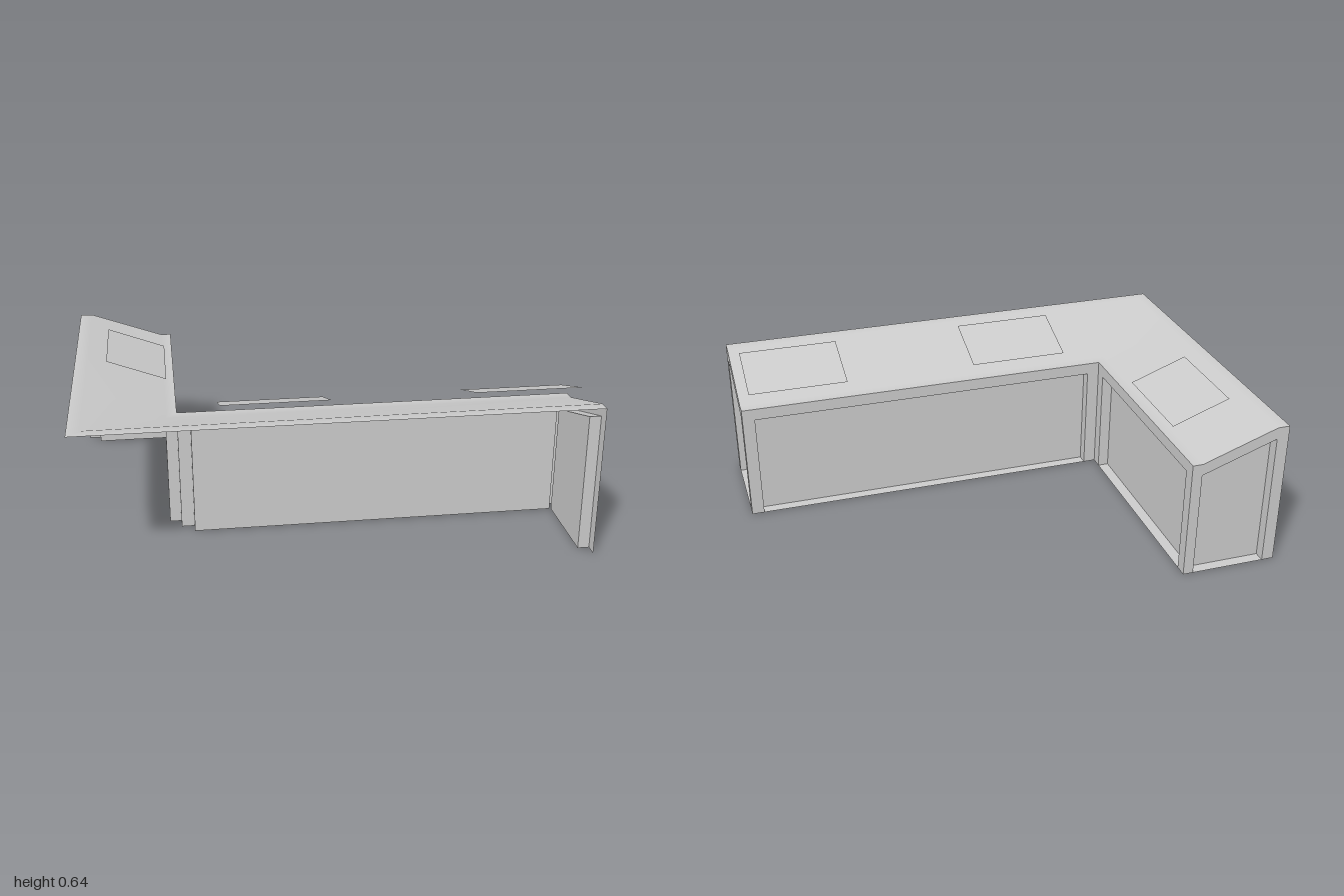
import * as THREE from 'three';

const material = new THREE.MeshStandardMaterial({ color: 0xcccccc, side: THREE.DoubleSide });
const LOW = 0.505, HIGH = 0.615, RIM = 0.05, DEPTH = 0.046;

// Canopy cross-section, from the raised outer edge to the low inner edge
const profileX = [-1, -0.95, -0.64, -0.597];
const profileZ = [0.71, 0.66, 0.313, 0.264];
const profileY = [HIGH, HIGH, LOW, LOW];

function addMesh(parent, name, geometry) {
  const mesh = new THREE.Mesh(geometry, material);
  mesh.name = name;
  parent.add(mesh);
  return mesh;
}

// Flat-shaded geometry from a list of four-cornered faces
function quads(faces) {
  const positions = faces.flatMap(([a, b, c, d]) => [a, b, c, a, c, d].flat());
  const geometry = new THREE.BufferGeometry();
  geometry.setAttribute('position', new THREE.Float32BufferAttribute(positions, 3));
  geometry.computeVertexNormals();
  return geometry;
}

// Thin wall facing local +z with a sunken panel; top holds four points of its upper edge
function insetWall(name, top, position, angle) {
  const wall = new THREE.Group();
  wall.name = name;
  const width = top[3][0];
  const [[u1, v1], [u2, v2]] = [top[1], top[2]];
  const opening = [[u1, 0], [u2, 0], [u2, v2 - RIM], [u1, v1 - RIM]];

  // Rim around the opening, open at the floor
  const outline = [
    [0, 0], opening[0], opening[3], opening[2], opening[1],
    [width, 0], ...top.slice().reverse(),
  ].map(([u, v]) => new THREE.Vector2(u, v));
  addMesh(wall, name + 'Frame', new THREE.ShapeGeometry(new THREE.Shape(outline)));

  // Sunken back panel and its four reveals
  const front = opening.map(([u, v]) => [u, v, 0]);
  const back = opening.map(([u, v]) => [u, v, -DEPTH]);
  const reveals = front.map((p, i) => {
    const j = (i + 1) % 4;
    return [p, front[j], back[j], back[i]];
  });
  addMesh(wall, name + 'Recess', quads([back, ...reveals]));

  wall.position.set(...position);
  wall.rotation.y = angle;
  return wall;
}

// Level upper edge for the straight walls
const levelTop = (width) =>
  [[0, LOW], [0.052, LOW], [width - 0.052, LOW], [width, LOW]];

// Smooth canopy swept round the corner with a mitre
function canopyGeometry() {
  const sections = [
    (k) => [profileX[k], profileY[k], -0.71],
    (k) => [profileX[k], profileY[k], 0.255],
    (k) => [profileX[k], profileY[k], profileZ[k]],
    (k) => [-0.588, profileY[k], profileZ[k]],
    (k) => [1, profileY[k], profileZ[k]],
  ];
  const positions = [], index = [];
  sections.forEach((point, s) => {
    for (let k = 0; k < 4; k++) {
      positions.push(...point(k));
      if (s < sections.length - 1 && k < 3) {
        const a = s * 4 + k, b = a + 4;
        index.push(a, b, b + 1, a, b + 1, a + 1);
      }
    }
  });
  const geometry = new THREE.BufferGeometry();
  geometry.setAttribute('position', new THREE.Float32BufferAttribute(positions, 3));
  geometry.setIndex(index);
  geometry.computeVertexNormals();
  return geometry;
}

export function createModel() {
  const model = new THREE.Group();
  model.name = 'cornerCounter';

  addMesh(model, 'canopy', canopyGeometry());

  // End walls follow the canopy's slope, inner walls are level
  const leftEndTop = profileZ.map((z, k) => [0.71 - z, profileY[k]]);
  const backEndTop = profileX.map((x, k) => [profileX[3] - x, profileY[k]]);
  backEndTop.forEach((p) => { p[0] = -(profileX[0] - profileX[3]) * (p[0] / 0.403); });
  backEndTop.reverse();
  model.add(
    insetWall('leftEndWall', leftEndTop, [1, 0, 0.71], Math.PI / 2),
    insetWall('longInnerWall', levelTop(1 - profileX[3]), [1, 0, profileZ[3]], Math.PI),
    insetWall('shortInnerWall', levelTop(profileZ[3] + 0.71), [profileX[3], 0, profileZ[3]], Math.PI / 2),
    insetWall('backEndWall', backEndTop, [profileX[3], 0, -0.71], Math.PI),
  );

  // Thin tilted plates floating just above the canopy
  const shortArmPlate = [
    [-0.87, 0.627, -0.45], [-0.87, 0.627, -0.03], [-0.63, 0.538, -0.03], [-0.63, 0.538, -0.45],
  ];
  addMesh(model, 'shortArmPlate', quads([shortArmPlate]));
  for (const x of [-0.44, 0.54]) {
    const plate = [
      [x, 0.64, 0.547], [x + 0.42, 0.64, 0.547], [x + 0.42, 0.557, 0.3], [x, 0.557, 0.3],
    ];
    addMesh(model, 'longArmPlate', quads([plate]));
  }
  return model;
}
